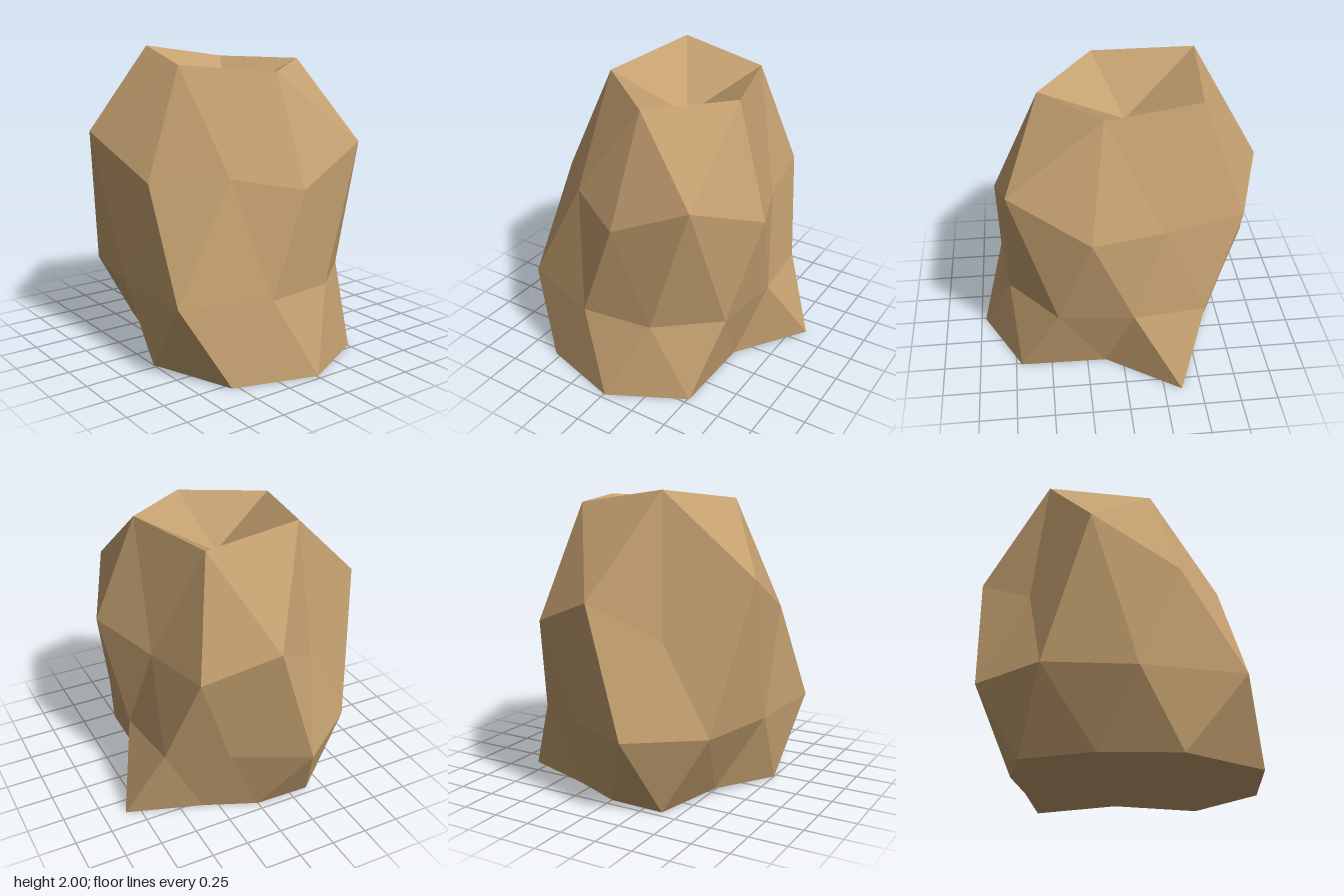
import * as THREE from 'three';

// Cross-sections of the boulder, listed from the left (+x) side round through the front (+z)
const TOP = [-0.06, 1.65, -0.01];
const RIM = [
  [0.5, 1.88, -0.02], [0.12, 1.92, 0.47], [-0.555, 2.0, 0.3],
  [-0.52, 1.905, -0.31], [0.12, 1.92, -0.5],
];
const SHOULDER = [
  [0.82, 1.18, 0], [0.6, 1.26, 0.41], [0.22, 1.21, 0.765], [-0.38, 1.47, 0.85], [-0.67, 1.09, 0.37],
  [-0.945, 1.34, -0.01], [-0.785, 1.16, -0.475], [-0.26, 1.12, -0.57], [0.22, 1.19, -0.76], [0.735, 1.42, -0.52],
];
const WAIST = [
  [0.82, 0.24], [0.62, 0.81], [-0.06, 0.79], [-0.64, 0.68], [-0.97, 0.24],
  [-0.73, -0.24], [-0.54, -0.62], [-0.06, -0.67], [0.44, -0.62], [0.76, -0.24],
].map(([x, z]) => [x, 0.51, z]);
const FOOT = [
  [0.97, 0, -0.01], [0.8, 0, 0.54], [0.22, 0, 0.75], [-0.26, 0.035, 0.53], [-0.7, 0, 0.38],
  [-0.69, 0, 0], [-0.54, 0, -0.35], [-0.37, 0, -0.85], [0.12, 0, -0.52], [0.71, 0, -0.51],
];
const BASE = [0, 0, 0];

function boulderGeometry() {
  const pos = [];
  const tri = (a, b, c) => pos.push(...a, ...b, ...c);

  // Sunken top and the faceted slope down to the shoulder
  for (let i = 0; i < 5; i++) {
    const a = RIM[i], b = RIM[(i + 1) % 5];
    const corner = SHOULDER[2 * i], mid = SHOULDER[2 * i + 1], next = SHOULDER[(2 * i + 2) % 10];
    tri(TOP, b, a);
    tri(a, mid, corner);
    tri(b, mid, a);
    tri(b, next, mid);
  }

  // Zigzag bands of the sides, and the underside
  for (let j = 0; j < 10; j++) {
    const k = (j + 1) % 10;
    tri(SHOULDER[k], WAIST[j], SHOULDER[j]);
    tri(SHOULDER[k], WAIST[k], WAIST[j]);
    tri(WAIST[j], FOOT[k], FOOT[j]);
    tri(WAIST[k], FOOT[k], WAIST[j]);
    tri(BASE, FOOT[j], FOOT[k]);
  }

  const geometry = new THREE.BufferGeometry();
  geometry.setAttribute('position', new THREE.Float32BufferAttribute(pos, 3));
  geometry.computeVertexNormals(); // unshared corners give flat facets
  return geometry;
}

export function createModel() {
  const sandstone = new THREE.MeshStandardMaterial({ color: 0xc4a070 });
  sandstone.name = 'sandstone';

  const boulder = new THREE.Mesh(boulderGeometry(), sandstone);
  boulder.name = 'boulder';

  const group = new THREE.Group();
  group.name = 'rock';
  group.add(boulder);
  return group;
}
